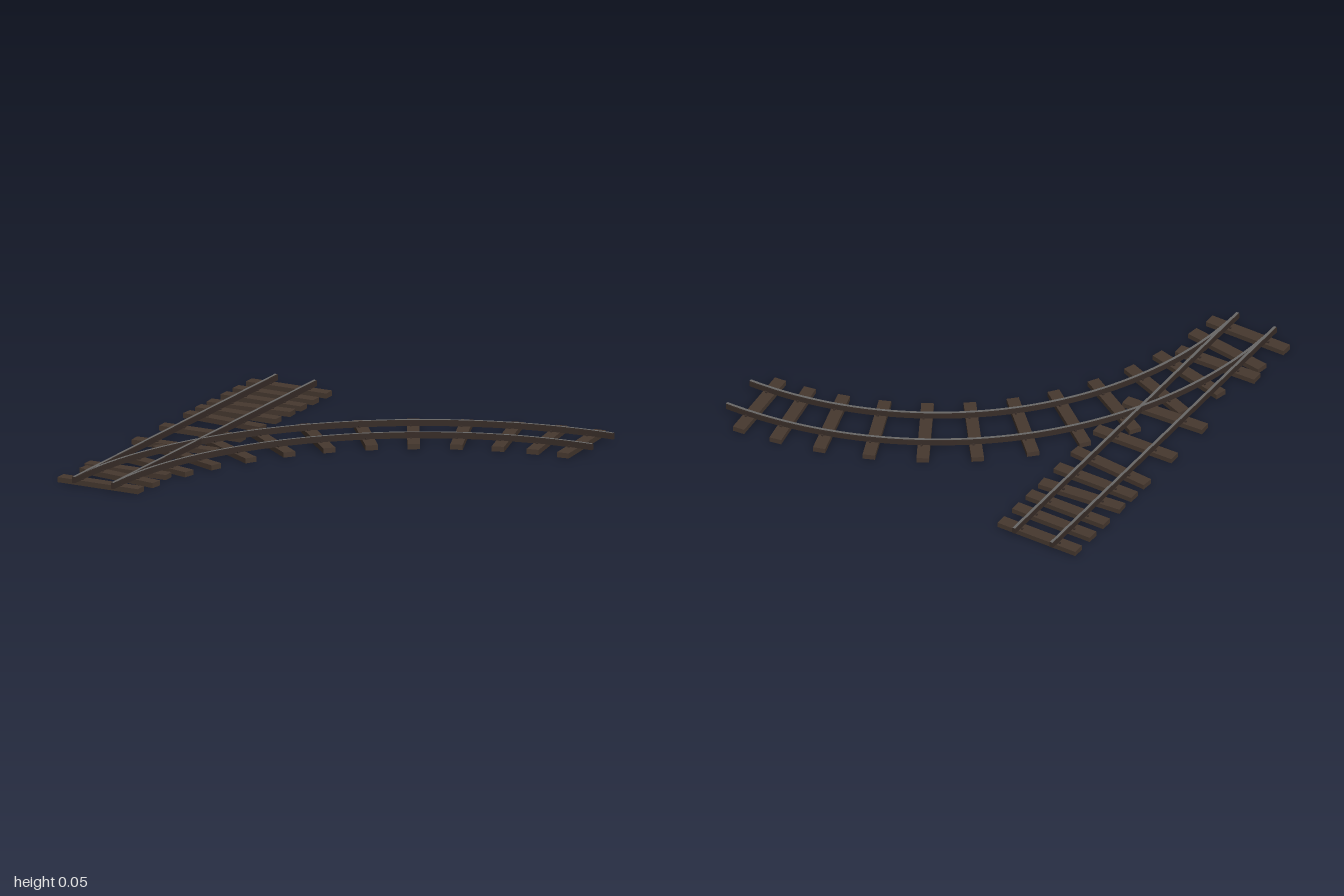
import * as THREE from 'three';

const mat = (name, color) => {
  const m = new THREE.MeshStandardMaterial({ color });
  m.name = name;
  return m;
};

const TIE_H = 0.025, TIE_L = 0.434, TIE_W = 0.06;
const RAIL_TOP = 0.055, GAUGE = 0.105, HEAD_H = 0.003;
const TRACK_X = -0.78;       // centre line of the straight track
const CURVE_R = 1.78;        // centre line radius, about (1, 1)

export function createModel() {
  const wood = mat('dark wood', 0x46382f);
  const rust = mat('dark rail side', 0x382d28);
  const steel = mat('worn steel', 0x686766);
  const model = new THREE.Group();

  // Plan outlines, drawn in (x, -z)
  const straightShape = (x, w) => {
    const s = new THREE.Shape();
    s.moveTo(x - w / 2, -1);
    s.lineTo(x + w / 2, -1);
    s.lineTo(x + w / 2, 1);
    s.lineTo(x - w / 2, 1);
    s.closePath();
    return s;
  };
  const curveShape = (r, w) => {
    const s = new THREE.Shape();
    s.absarc(1, -1, r + w / 2, Math.PI / 2, Math.PI, false);
    s.absarc(1, -1, r - w / 2, Math.PI, Math.PI / 2, true);
    s.closePath();
    return s;
  };

  // One rail: dark body with a narrower bright running surface
  const addRail = (name, outline, at, lift) => {
    const rail = new THREE.Group();
    rail.name = name;
    const layer = (part, w, y, h, mats) => {
      const g = new THREE.ExtrudeGeometry(outline(at, w), { depth: h, bevelEnabled: false, curveSegments: 40 });
      g.rotateX(-Math.PI / 2);
      g.translate(0, y, 0);
      const mesh = new THREE.Mesh(g, mats);
      mesh.name = part;
      rail.add(mesh);
    };
    const bodyH = RAIL_TOP - HEAD_H - TIE_H;
    layer('railBody', 0.018, TIE_H + lift, bodyH, rust);
    layer('railHead', 0.014, TIE_H + bodyH + lift, HEAD_H, [steel, rust]);
    model.add(rail);
  };
  for (const s of [-1, 1]) {
    addRail('straightRail', straightShape, TRACK_X + s * GAUGE, 0);
    addRail('curvedRail', curveShape, CURVE_R - s * GAUGE, -0.0006);
  }

  // One sleeper with spikes beside each rail
  const tieGeo = new THREE.BoxGeometry(TIE_L, TIE_H, TIE_W);
  const spikeGeo = new THREE.BoxGeometry(0.009, 0.008, 0.009);
  const addTie = (name, x, z, angle, y = 0) => {
    const tie = new THREE.Group();
    tie.name = name;
    const board = new THREE.Mesh(tieGeo, wood);
    board.name = 'sleeperBoard';
    board.position.y = TIE_H / 2;
    tie.add(board);
    for (const rail of [-GAUGE, GAUGE]) for (const side of [-1, 1]) {
      const spike = new THREE.Mesh(spikeGeo, rust);
      spike.name = 'spike';
      spike.position.set(rail + side * 0.014, TIE_H + 0.003, side * 0.012);
      tie.add(spike);
    }
    tie.position.set(x, y, z);
    tie.rotation.y = THREE.MathUtils.degToRad(angle);
    model.add(tie);
  };

  // Straight sleepers: z and a slight crooked turn in degrees
  [[-0.94, 0], [-0.81, 0], [-0.69, 0], [-0.565, 4.5], [-0.44, 0], [-0.305, -5],
    [-0.085, 1], [0.18, 2.5], [0.65, 1.5], [0.92, 0]]
    .forEach(([z, a]) => addTie('straightSleeper', TRACK_X - 0.003, z, a));

  // Curved sleepers: degrees round the bend from its far end, and their turn
  [[3.7, 4.7], [9.3, 9.8], [15.6, 16.2], [22.7, 21.8], [30.1, 29], [37.5, 37], [45.1, 45],
    [52.5, 52.5], [60, 59.5], [67.6, 69], [74, 76.3], [82.4, 81.8]]
    .forEach(([t, turn]) => {
      const a = THREE.MathUtils.degToRad(t);
      addTie('curvedSleeper', 1 - CURVE_R * Math.sin(a), 1 - CURVE_R * Math.cos(a), turn - 90, 0.0004);
    });

  return model;
}
